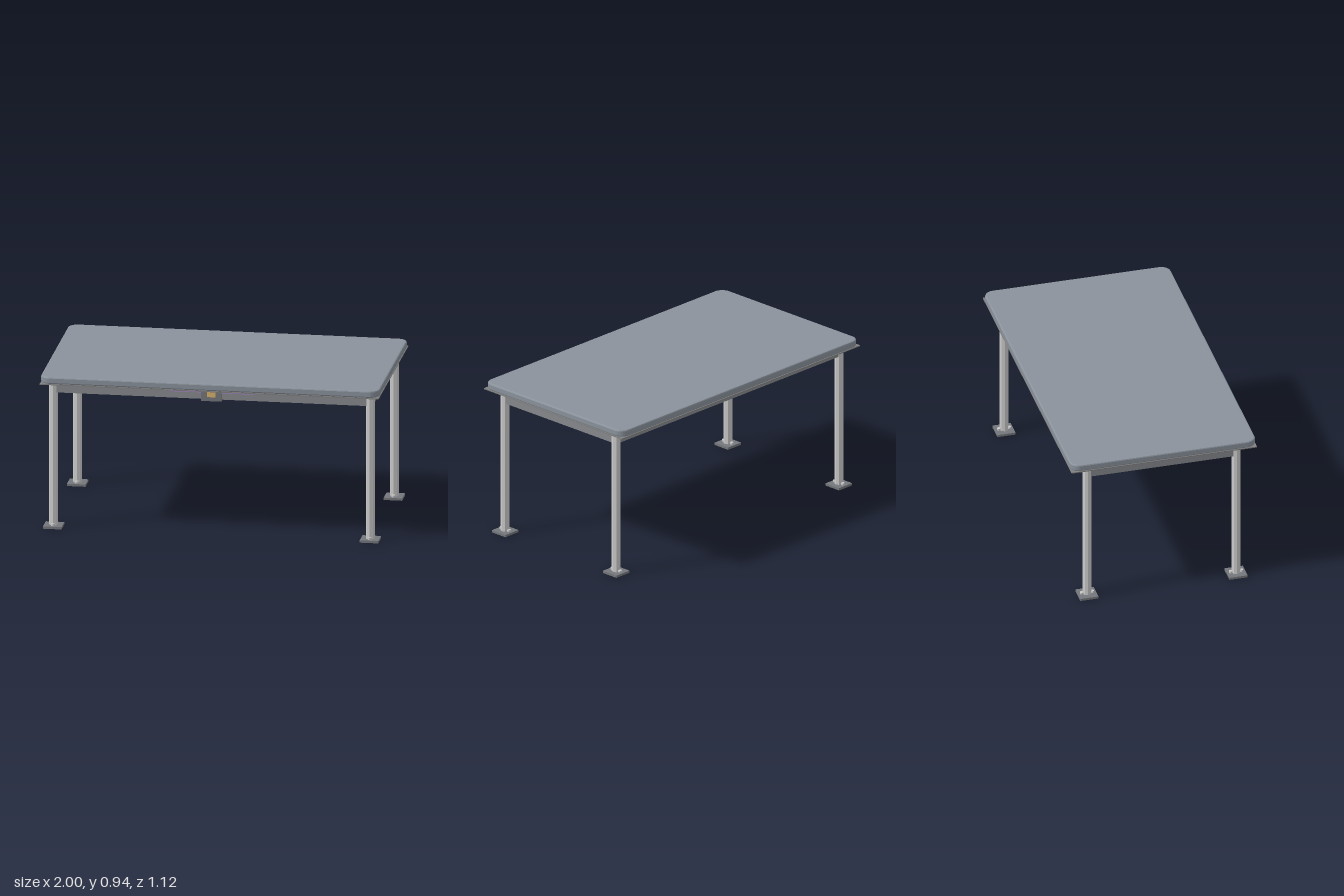
import * as THREE from 'three';

const paint = (color) => new THREE.MeshStandardMaterial({ color, flatShading: true });

export function createModel() {
  const model = new THREE.Group();
  const slate = paint(0x8a929c), steel = paint(0xcccccc), rail = paint(0x86898d);
  const dark = paint(0x74777b), under = paint(0x808080), brass = paint(0xd9b26a), violet = paint(0xb084d8);

  const add = (name, geometry, material, x, y, z, parent = model) => {
    const mesh = new THREE.Mesh(geometry, material);
    mesh.name = name;
    mesh.position.set(x, y, z);
    parent.add(mesh);
    return mesh;
  };
  const box = (name, w, h, d, material, x, y, z, parent) =>
    add(name, new THREE.BoxGeometry(w, h, d), material, x, y, z, parent);

  // Tabletop: rounded rectangle with a small bevel above and below
  const bevel = 0.008, hw = 1 - bevel, hd = 0.56 - bevel, r = 0.05;
  const outline = new THREE.Shape();
  outline.absarc(hw - r, hd - r, r, 0, Math.PI / 2);
  outline.absarc(-hw + r, hd - r, r, Math.PI / 2, Math.PI);
  outline.absarc(-hw + r, -hd + r, r, Math.PI, Math.PI * 1.5);
  outline.absarc(hw - r, -hd + r, r, Math.PI * 1.5, Math.PI * 2);
  const slab = new THREE.ExtrudeGeometry(outline, {
    depth: 0.042 - 2 * bevel, bevelEnabled: true, bevelThickness: bevel,
    bevelSize: bevel, bevelSegments: 2, curveSegments: 6,
  });
  slab.rotateX(-Math.PI / 2);
  add('tabletop', slab, slate, 0, 0.896 + bevel, 0);

  // Thin square-cornered sheet below the top
  box('undersideSheet', 2, 0.006, 1.12, under, 0, 0.893, 0);

  // Aprons between the legs
  for (const s of [-1, 1]) {
    box(s > 0 ? 'frontApron' : 'backApron', 1.87, 0.07, 0.03, rail, 0, 0.855, s * 0.45);
    box(s > 0 ? 'leftApron' : 'rightApron', 0.03, 0.07, 0.9, rail, s * 0.935, 0.855, 0);
  }

  // Legs with foot plates and bolts
  const post = new THREE.CylinderGeometry(0.026, 0.026, 0.878, 8);
  const bolt = new THREE.CylinderGeometry(0.011, 0.011, 0.014, 8);
  for (const sx of [-1, 1]) for (const sz of [-1, 1]) {
    const leg = new THREE.Group();
    leg.name = (sz > 0 ? 'front' : 'back') + (sx > 0 ? 'Left' : 'Right') + 'Leg';
    leg.position.set(sx * 0.935, 0, sz * 0.45);
    add('post', post, steel, 0, 0.451, 0, leg);
    box('footPlate', 0.11, 0.014, 0.11, dark, 0, 0.007, 0, leg);
    for (const s of [-1, 1]) add('footBolt', bolt, steel, 0, 0.019, s * 0.032, leg);
    model.add(leg);
  }

  // Control box with button and light strips on the front apron
  box('controlBox', 0.12, 0.08, 0.03, dark, 0, 0.85, 0.459);
  box('button', 0.05, 0.04, 0.01, brass, 0, 0.856, 0.475);
  box('lightStrip', 0.5, 0.01, 0.006, violet, 0, 0.865, 0.467);

  return model;
}
